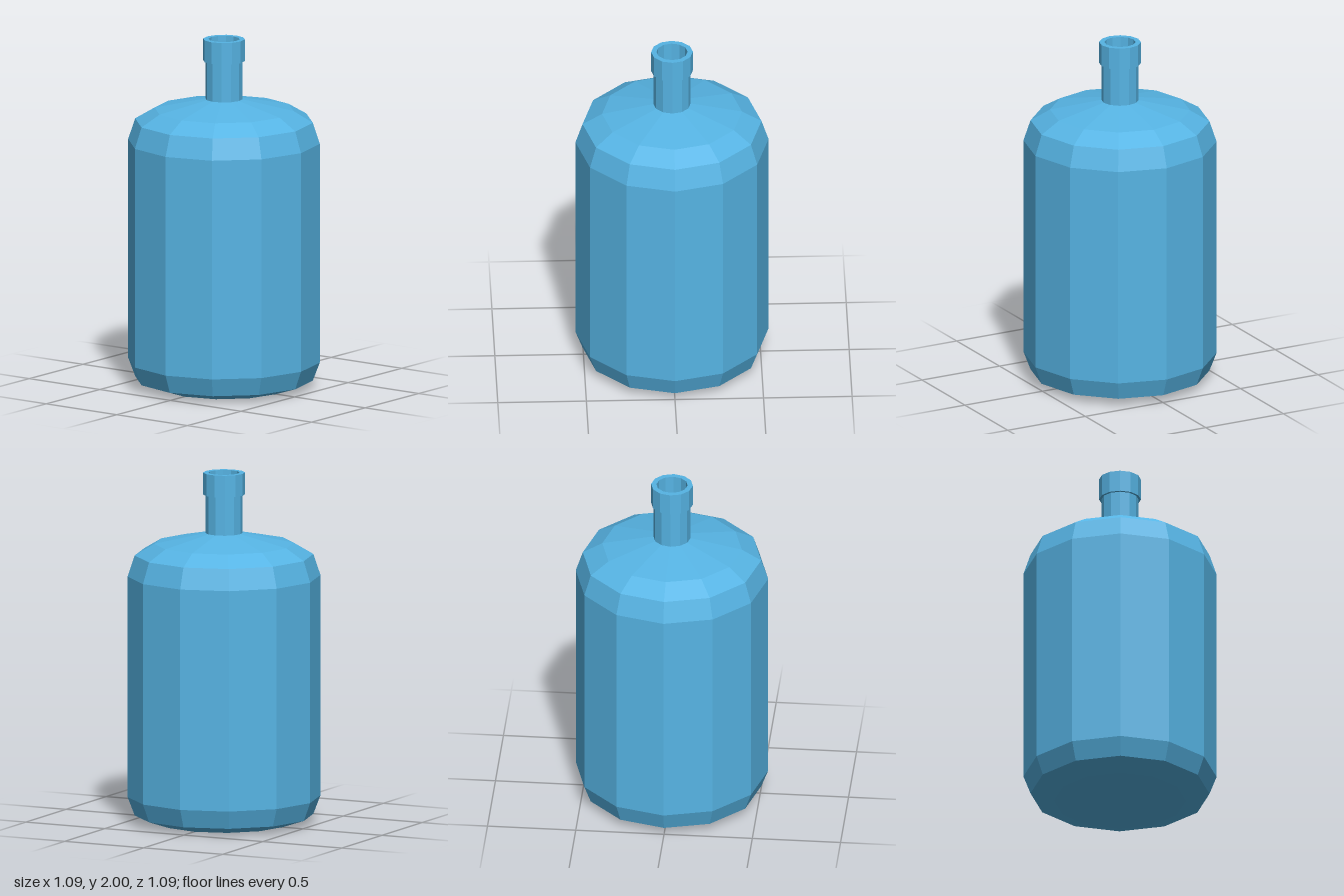
import * as THREE from 'three';

const SIDES = 12;

export function createModel() {
  const group = new THREE.Group();
  group.name = 'bottle';
  const blue = new THREE.MeshStandardMaterial({ color: 0x56b4e4, flatShading: true });
  blue.name = 'sky blue';

  // Faceted solid of revolution from [radius, height] pairs, listed so that faces point outward
  const addTurned = (name, profile) => {
    const points = profile.map(([r, y]) => new THREE.Vector2(r, y));
    const mesh = new THREE.Mesh(new THREE.LatheGeometry(points, SIDES), blue);
    mesh.name = name;
    group.add(mesh);
  };

  // Flat base, chamfered foot, straight wall and sloping shoulder
  addTurned('body', [
    [0, 0.005], [0.37, 0], [0.505, 0.045], [0.545, 0.15],
    [0.545, 1.41], [0.505, 1.53], [0.395, 1.595], [0.105, 1.655],
  ]);

  // Narrow neck
  addTurned('neck', [[0.105, 1.655], [0.105, 1.875]]);

  // Thicker lip, wrapping over the mouth
  addTurned('lip', [[0.105, 1.875], [0.118, 1.875], [0.118, 2], [0.088, 2]]);

  // Inside of the mouth, down to a closed floor
  addTurned('bore', [[0.088, 2], [0.088, 1.66], [0, 1.66]]);

  return group;
}
